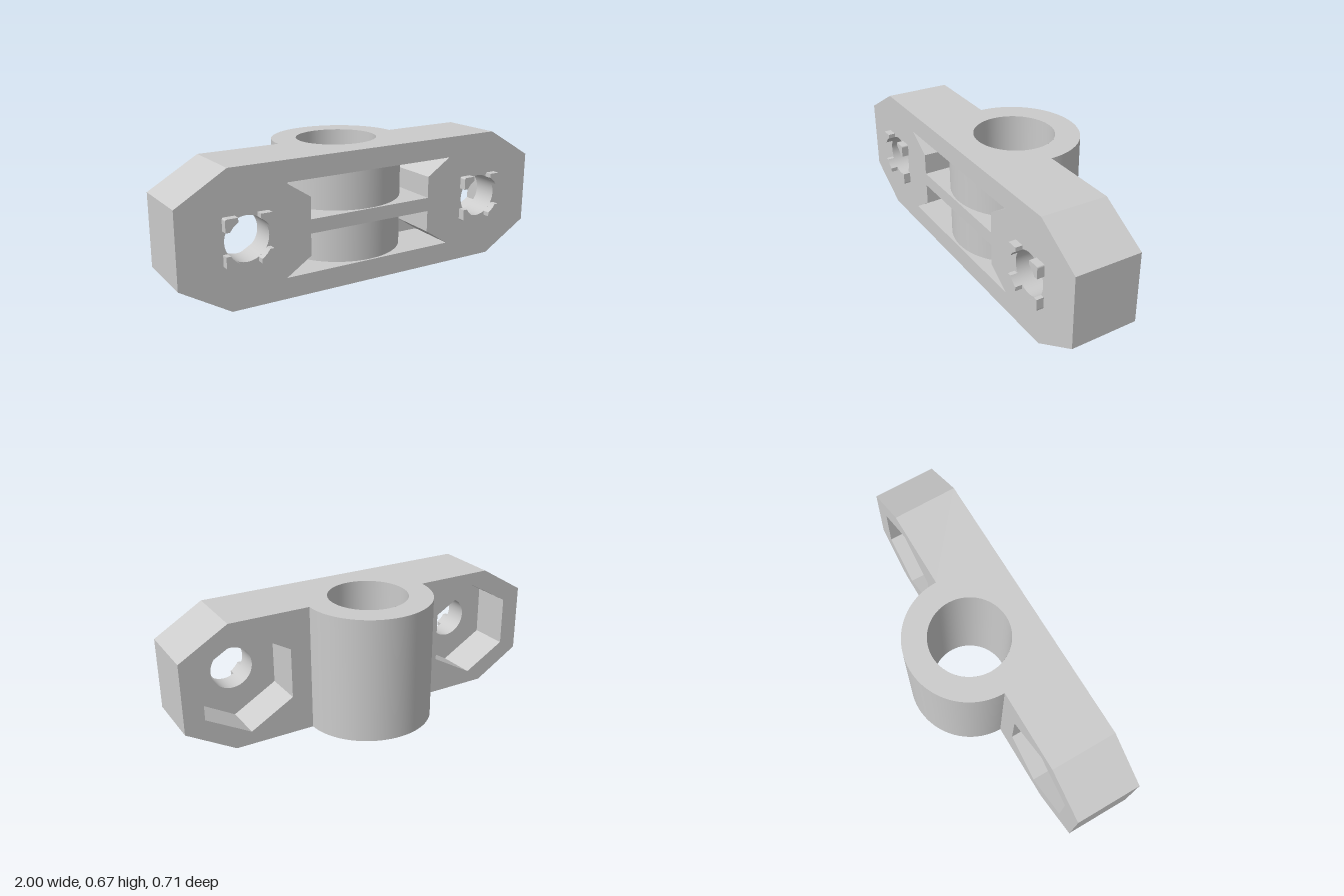
import * as THREE from 'three';
import { mergeGeometries } from 'three/addons/utils/BufferGeometryUtils.js';

const H = 0.67, MID = H / 2, FRONT = 0.315, BACK = -0.025; // plate height and faces
const R = 0.33, BORE = 0.205;                              // upright sleeve, centred on the back face
const HOLE_X = 0.667, HOLE_R = 0.11, HEX_R = 0.265, HEX_FLOOR = 0.19;
const POCKET_FLOOR = 0.05;
const SEG = 64;

const path = (pts) => new THREE.Shape(pts.map(([x, y]) => new THREE.Vector2(x, y)));
const circle = (x, y, r) => new THREE.Shape().absarc(x, y, r, 0, Math.PI * 2);
const halfTurn = (pts) => pts.map(([x, y]) => [-x, H - y]);

// reverses the facing of an indexed geometry
function flip(g) {
  g.index.array.reverse();
  const n = g.attributes.normal.array;
  for (let i = 0; i < n.length; i++) n[i] = -n[i];
  return g;
}

// flat face at depth z
function faceZ(pts, z, holes = [], back = false) {
  const s = path(pts);
  s.holes = holes;
  const g = new THREE.ShapeGeometry(s, SEG / 2).translate(0, 0, z);
  return back ? flip(g) : g;
}

// flat face at height y, from (x, z) corners
function faceY(pts, y, up, holes = []) {
  const s = path(pts);
  s.holes = holes;
  const g = new THREE.ShapeGeometry(s, SEG).rotateX(Math.PI / 2).translate(0, y, 0);
  return up ? flip(g) : g;
}

// straight walls along a polyline, running from depth z0 to z1
function wall(pts, z0, z1) {
  const v = [];
  for (let i = 0; i < pts.length - 1; i++) {
    const [a, b] = pts[i], [c, d] = pts[i + 1];
    v.push(a, b, z0, c, d, z0, c, d, z1, a, b, z0, c, d, z1, a, b, z1);
  }
  const g = new THREE.BufferGeometry();
  g.setAttribute('position', new THREE.Float32BufferAttribute(v, 3));
  g.computeVertexNormals();
  return g;
}

// open upright cylinder section
function sleeve(r, y0, y1, start, length) {
  return new THREE.CylinderGeometry(r, r, y1 - y0, SEG, 1, true, start, length)
    .translate(0, (y0 + y1) / 2, BACK);
}

// moulding draft: everything gets slightly lower towards the back
function draft(g) {
  const p = g.attributes.position;
  for (let i = 0; i < p.count; i++) {
    const k = 1 - 0.058 * Math.max(0, FRONT - p.getZ(i));
    p.setY(i, MID + (p.getY(i) - MID) * k);
  }
  return g;
}

export function createModel() {
  const group = new THREE.Group();
  const material = new THREE.MeshStandardMaterial({ color: 0xcccccc, side: THREE.DoubleSide });
  const add = (name, geos) => {
    const parts = geos.map((g) => {
      const n = g.index ? g.toNonIndexed() : g;
      n.deleteAttribute('uv');
      return n;
    });
    const mesh = new THREE.Mesh(draft(mergeGeometries(parts)), material);
    mesh.name = name;
    group.add(mesh);
  };

  const end = [[0.75, 0], [1, 0.15], [1, 0.52], [0.75, H]];
  const hex = (cx) => Array.from({ length: 6 }, (_, i) => {
    const a = Math.PI / 6 + i * Math.PI / 3;
    return [cx + HEX_R * Math.cos(a), MID + HEX_R * Math.sin(a)];
  });
  const pocket = [[-0.34, 0.37], [0.34, 0.37], [0.34, 0.48], [0.47, 0.565], [-0.47, 0.565], [-0.34, 0.48]];
  const sides = [-1, 1];

  // plate: front, two back halves and the chamfered ends
  const plate = [
    faceZ([...end, ...halfTurn(end)], FRONT, [
      path(pocket), path(halfTurn(pocket)),
      ...sides.map((s) => circle(s * HOLE_X, MID, HOLE_R)),
    ]),
    wall(end, FRONT, BACK), wall(halfTurn(end), FRONT, BACK),
  ].map((g, i) => (i ? wall((i === 1 ? end : halfTurn(end)), BACK, FRONT) : g));
  for (const s of sides) {
    const half = [[R, 0], ...end, [R, H]].map(([x, y]) => [s * x, y]);
    plate.push(faceZ(half, BACK, [path(hex(s * HOLE_X))], true));
  }
  // top and bottom share the outline of plate plus sleeve
  const arc = Array.from({ length: SEG + 1 }, (_, i) => {
    const a = i / SEG * Math.PI;
    return [R * Math.cos(a), BACK - R * Math.sin(a)];
  });
  const outline = [[-0.75, FRONT], [0.75, FRONT], [0.75, BACK], ...arc, [-0.75, BACK]];
  for (const up of [false, true]) plate.push(faceY(outline, up ? H : 0, up, [circle(0, BACK, BORE)]));
  add('plate', plate);

  // upright sleeve with its through bore
  add('sleeve', [
    sleeve(R, 0, H, Math.PI / 2, Math.PI),
    flip(sleeve(BORE, 0, H, 0, Math.PI * 2)),
  ]);

  // two front pockets, with the sleeve wall showing between their ends
  const a = Math.acos((POCKET_FLOOR - BACK) / R), xr = R * Math.sin(a);
  const ledge = (s, x, y, up) => {
    const curve = Array.from({ length: 33 }, (_, i) => {
      const t = a * (1 - i / 32);
      return [s * R * Math.sin(t), BACK + R * Math.cos(t)];
    });
    return faceY([[s * x, FRONT], [s * x, POCKET_FLOOR], ...curve, [0, FRONT]], y, up);
  };
  for (const lower of [false, true]) {
    const place = (pts) => (lower ? halfTurn(pts) : pts);
    const ys = lower ? [H - 0.565, H - 0.37] : [0.37, 0.565];
    const geos = [sleeve(R, ys[0], ys[1], -a, 2 * a)];
    for (const s of sides) {
      const floor = [[xr, 0.37], [0.34, 0.37], [0.34, 0.48], [0.47, 0.565], [xr, 0.565]];
      geos.push(faceZ(place(floor.map(([x, y]) => [s * x, y])), POCKET_FLOOR));
      geos.push(ledge(s, lower ? 0.47 : 0.34, ys[0], true));
      geos.push(ledge(s, lower ? 0.34 : 0.47, ys[1], false));
    }
    geos.push(wall(place(pocket.slice(1, 4)).reverse(), POCKET_FLOOR, FRONT));
    geos.push(wall(place([...pocket.slice(4), pocket[0]]).reverse(), POCKET_FLOOR, FRONT));
    add(lower ? 'lowerPocket' : 'upperPocket', geos);
  }

  for (const s of sides) {
    const side = s > 0 ? 'left' : 'right', cx = s * HOLE_X, h = hex(cx);
    // hexagonal nut recess at the back and the bolt hole through its floor
    add(side + 'NutRecess', [
      wall([...h, h[0]].reverse(), BACK, HEX_FLOOR),
      faceZ(h, HEX_FLOOR, [circle(cx, MID, HOLE_R)], true),
    ]);
    add(side + 'BoltHole', [
      flip(new THREE.CylinderGeometry(HOLE_R, HOLE_R, FRONT - HEX_FLOOR, SEG, 1, true)
        .rotateX(Math.PI / 2).translate(cx, MID, (FRONT + HEX_FLOOR) / 2)),
    ]);
    // four corner lugs around the hole
    const lug = new THREE.Shape();
    const t = Math.asin(0.055 / HOLE_R);
    lug.moveTo(0.055, 0.117);
    lug.lineTo(0.055, HOLE_R * Math.cos(t));
    lug.absarc(0, 0, HOLE_R, Math.PI / 2 - t, t, true);
    lug.lineTo(0.117, 0.055);
    lug.lineTo(0.117, 0.107);
    lug.quadraticCurveTo(0.117, 0.117, 0.107, 0.117);
    add(side + 'Lugs', [0, 1, 2, 3].map((i) =>
      new THREE.ExtrudeGeometry(lug, { depth: 0.037, bevelEnabled: false, curveSegments: 8 })
        .rotateZ(i * Math.PI / 2).translate(cx, MID, FRONT)));
  }
  return group;
}
